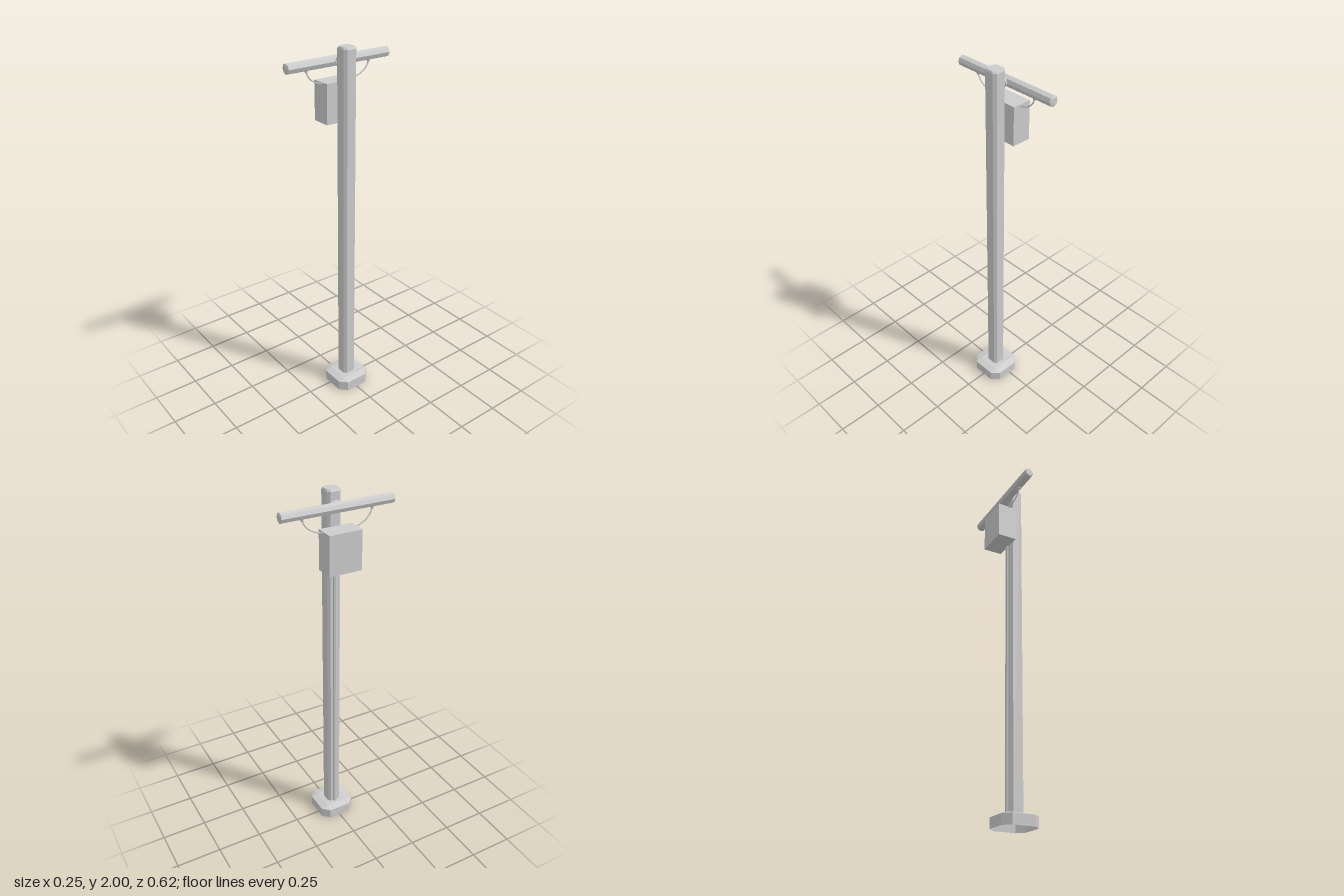
import * as THREE from 'three';

const material = new THREE.MeshStandardMaterial({ color: 0xcccccc, flatShading: true });
const openMaterial = new THREE.MeshStandardMaterial({ color: 0xcccccc, flatShading: true, side: THREE.DoubleSide });
const smoothMaterial = new THREE.MeshStandardMaterial({ color: 0xcccccc });

// Rectangle with cut corners, anticlockwise from above
function ring(y, hx, hz, cutX, cutZ) {
  const corners = [[hx, hz - cutZ], [hx - cutX, hz]];
  const quarter = [...corners, ...corners.slice().reverse().map(([x, z]) => [-x, z])];
  const half = quarter.map(([x, z]) => new THREE.Vector3(x, y, -z));
  return [...half, ...half.map((p) => new THREE.Vector3(-p.x, y, -p.z))];
}

// Skins a stack of rings and closes the top; the underside stays open
function loft(rings) {
  const points = [];
  const tri = (a, b, c) => {
    const area = b.clone().sub(a).cross(c.clone().sub(a)).length();
    if (area > 1e-8) points.push(a, b, c);
  };
  for (let r = 0; r < rings.length - 1; r++) {
    const lower = rings[r], upper = rings[r + 1], n = lower.length;
    for (let i = 0; i < n; i++) {
      const j = (i + 1) % n;
      tri(lower[i], lower[j], upper[j]);
      tri(lower[i], upper[j], upper[i]);
    }
  }
  const top = rings[rings.length - 1];
  for (let i = 1; i < top.length - 1; i++) tri(top[0], top[i], top[i + 1]);
  const geometry = new THREE.BufferGeometry().setFromPoints(points);
  geometry.computeVertexNormals();
  return geometry;
}

export function createModel() {
  const group = new THREE.Group();
  const add = (name, geometry, x, y, z, mat = material) => {
    const mesh = new THREE.Mesh(geometry, mat);
    mesh.name = name;
    mesh.position.set(x, y, z);
    group.add(mesh);
    return mesh;
  };
  const poleX = 0.02, armX = -0.048, armY = 1.921;

  // Hollow footing with a sloped rim
  add('base', loft([
    ring(0, 0.103, 0.103, 0.039, 0.039),
    ring(0.057, 0.103, 0.103, 0.039, 0.039),
    ring(0.068, 0.064, 0.064, 0, 0),
  ]), poleX, 0, 0, openMaterial);

  // Pole with a bevelled top
  add('pole', loft([
    ring(0.045, 0.039, 0.039, 0.014, 0.014),
    ring(1.99, 0.039, 0.039, 0.014, 0.014),
    ring(2, 0.034, 0.034, 0.013, 0.013),
  ]), poleX, 0, 0, openMaterial);

  // Conduit up the pole to the box
  add('conduit', new THREE.CylinderGeometry(0.012, 0.012, 1.56, 8), -0.019, 0.84, 0);

  // Equipment box
  add('equipmentBox', new THREE.BoxGeometry(0.107, 0.21, 0.182), -0.0715, 1.715, 0.002);

  // Crossarm with slightly bevelled ends
  const armProfile = [[0, -0.312], [0.019, -0.312], [0.027, -0.308], [0.027, 0.308], [0.019, 0.312], [0, 0.312]]
    .map(([r, y]) => new THREE.Vector2(r, y));
  add('crossarm', new THREE.LatheGeometry(armProfile, 8), armX, armY, 0).rotation.x = Math.PI / 2;

  // Flared bracket joining the arm to the pole
  const bracket = new THREE.CylinderGeometry(0.031, 0.04, 0.034, 8);
  bracket.rotateZ(Math.PI / 2).scale(1, 0.72, 1);
  add('armBracket', bracket, -0.031, armY, 0);

  // Sagging cables and their fittings on either side
  for (const side of [1, -1]) {
    const name = side > 0 ? 'front' : 'back';
    add(name + 'CableFitting', new THREE.CylinderGeometry(0.009, 0.007, 0.016, 8), armX, 1.893, side * 0.192);
    const path = new THREE.CatmullRomCurve3([
      [armX, 1.895, 0.192], [-0.049, 1.87, 0.184], [-0.052, 1.842, 0.16],
      [-0.056, 1.823, 0.125], [-0.06, 1.813, 0.086],
    ].map(([x, y, z]) => new THREE.Vector3(x, y, side * z)));
    add(name + 'Cable', new THREE.TubeGeometry(path, 20, 0.0035, 6), 0, 0, 0, smoothMaterial);
  }
  return group;
}
